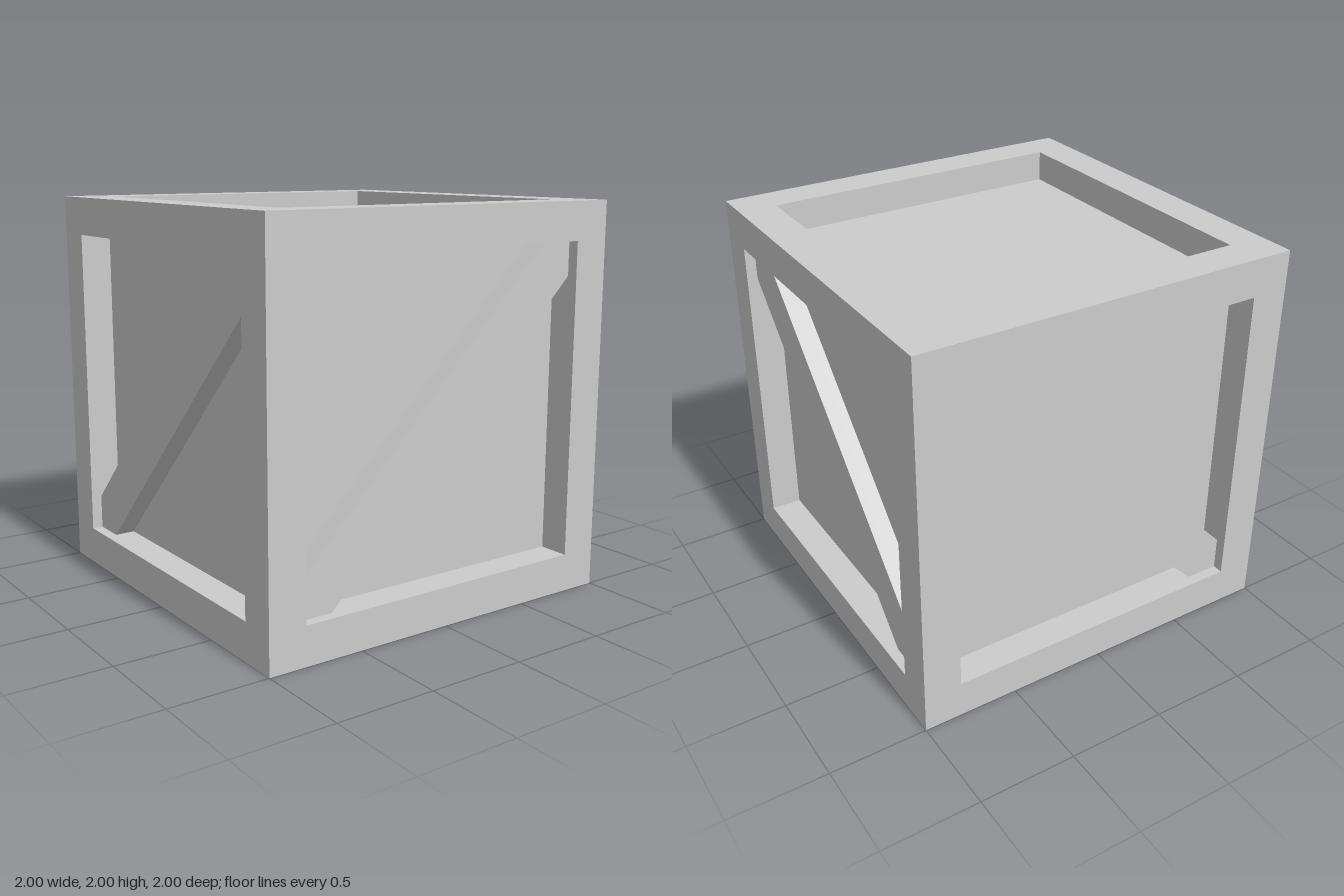
import * as THREE from 'three';
import { mergeGeometries } from 'three/addons/utils/BufferGeometryUtils.js';

const HALF = 1;        // half the crate's side
const OPEN = 0.805;    // half the opening in each frame
const PANEL = 0.84;    // distance of the recessed panels from the centre
const BRACE = 0.945;   // distance of the brace fronts from the centre
const BAND = 0.175;    // vertical half-width of a brace

const square = (h, Type) => new Type([[-h, -h], [h, -h], [h, h], [-h, h]].map(p => new THREE.Vector2(...p)));

// One side of the frame, facing +z: a flat border and the four walls of its recess
function frameSide() {
  const border = square(HALF, THREE.Shape);
  border.holes.push(square(OPEN, THREE.Path));
  const parts = [new THREE.ShapeGeometry(border).translate(0, 0, HALF)];
  const depth = HALF - PANEL;
  for (let i = 0; i < 4; i++) {
    parts.push(new THREE.PlaneGeometry(2 * OPEN, depth)
      .rotateX(-Math.PI / 2)
      .translate(0, -OPEN, HALF - depth / 2)
      .rotateZ(i * Math.PI / 2));
  }
  return mergeGeometries(parts);
}

// Diagonal board, cut to fit the corners of the opening
function braceGeometry() {
  const a = OPEN, b = OPEN - BAND;
  const outline = [[-a, -a], [-b, -a], [a, b], [a, a], [b, a], [-a, -b]];
  return new THREE.ExtrudeGeometry(
    new THREE.Shape(outline.map(p => new THREE.Vector2(...p))),
    { depth: BRACE - PANEL, bevelEnabled: false });
}

export function createModel() {
  const crate = new THREE.Group();
  crate.name = 'crate';
  const material = new THREE.MeshStandardMaterial({ color: 0xcccccc, flatShading: true });
  const add = (name, geometry) => {
    const mesh = new THREE.Mesh(geometry.translate(0, HALF, 0), material);
    mesh.name = name;
    crate.add(mesh);
  };

  // Outer frame: the same side turned to all six directions
  const sides = [];
  for (let i = 0; i < 4; i++) sides.push(frameSide().rotateY(i * Math.PI / 2));
  for (const s of [-1, 1]) sides.push(frameSide().rotateX(s * Math.PI / 2));
  add('frame', mergeGeometries(sides));

  // Recessed panels
  add('panels', new THREE.BoxGeometry(2 * PANEL, 2 * PANEL, 2 * PANEL));

  // Diagonal braces: opposite sides run parallel
  add('frontBrace', braceGeometry().translate(0, 0, PANEL));
  add('backBrace', braceGeometry().translate(0, 0, -BRACE));
  add('leftBrace', braceGeometry().translate(0, 0, PANEL).rotateY(Math.PI / 2));
  add('rightBrace', braceGeometry().translate(0, 0, -BRACE).rotateY(Math.PI / 2));

  return crate;
}
